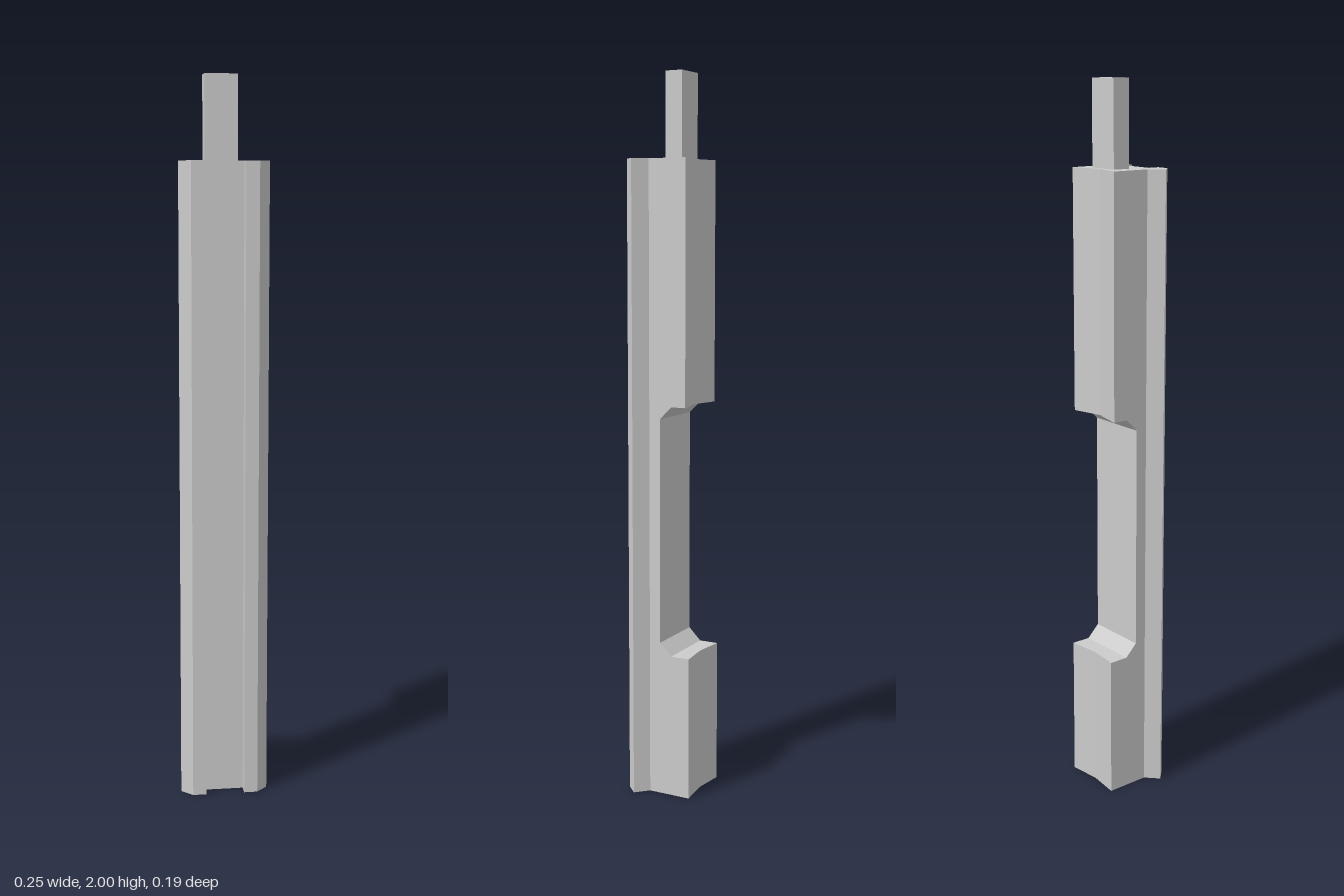
import * as THREE from 'three';

const material = new THREE.MeshStandardMaterial({ color: 0xcccccc, flatShading: true });
const HALF = 0.0885;   // half width of the main body
const HEIGHT = 1.77;   // height of the body without the tang
const CUT_Z = -0.005;  // floor of the rear cut-out

function addMesh(group, name, geometry) {
  const mesh = new THREE.Mesh(geometry, material);
  mesh.name = name;
  group.add(mesh);
  return mesh;
}

function shapeOf(points) {
  return new THREE.Shape(points.map(([a, b]) => new THREE.Vector2(a, b)));
}

// Constant section with a front channel and pointed side rails, given as [x, z]
function railBody() {
  const half = [[HALF, CUT_Z], [HALF, 0.028], [0.123, 0.062], [0.092, 0.093], [0.0545, 0.093], [0.0545, 0.061]];
  const outline = [...half, ...half.map(([x, z]) => [-x, z]).reverse()];
  const geometry = new THREE.ExtrudeGeometry(
    shapeOf(outline.map(([x, z]) => [x, -z])), { depth: HEIGHT, bevelEnabled: false });
  return geometry.rotateX(-Math.PI / 2);
}

// Rear block: side profile run across the width, its back face creased to a shallow V.
// The inner end slopes down to the floor of the cut-out.
function rearBlock(outerY, innerY, rampY, edgeZ, middleZ) {
  const profile = [[CUT_Z, outerY], [edgeZ, outerY], [edgeZ, innerY], [-0.04, innerY], [CUT_Z, rampY]];
  const geometry = new THREE.ExtrudeGeometry(
    shapeOf(profile), { depth: 2 * HALF, steps: 2, bevelEnabled: false });
  geometry.rotateY(-Math.PI / 2).translate(HALF, 0, 0);
  const p = geometry.attributes.position;
  for (let i = 0; i < p.count; i++) {
    if (Math.abs(p.getX(i)) < 1e-4 && Math.abs(p.getZ(i) - edgeZ) < 1e-4) p.setZ(i, middleZ);
  }
  geometry.computeVertexNormals();
  return geometry;
}

export function createModel() {
  const group = new THREE.Group();
  group.name = 'notchedBar';

  addMesh(group, 'railBody', railBody());
  addMesh(group, 'lowerRearBlock', rearBlock(0, 0.405, 0.44, -0.095, -0.085));
  addMesh(group, 'upperRearBlock', rearBlock(HEIGHT, 1.105, 1.07, -0.083, -0.062));

  // Flat tang on top
  const tang = addMesh(group, 'tang', new THREE.BoxGeometry(0.091, 2 - HEIGHT, 0.05));
  tang.position.set(0, (2 + HEIGHT) / 2, -0.025);

  return group;
}
